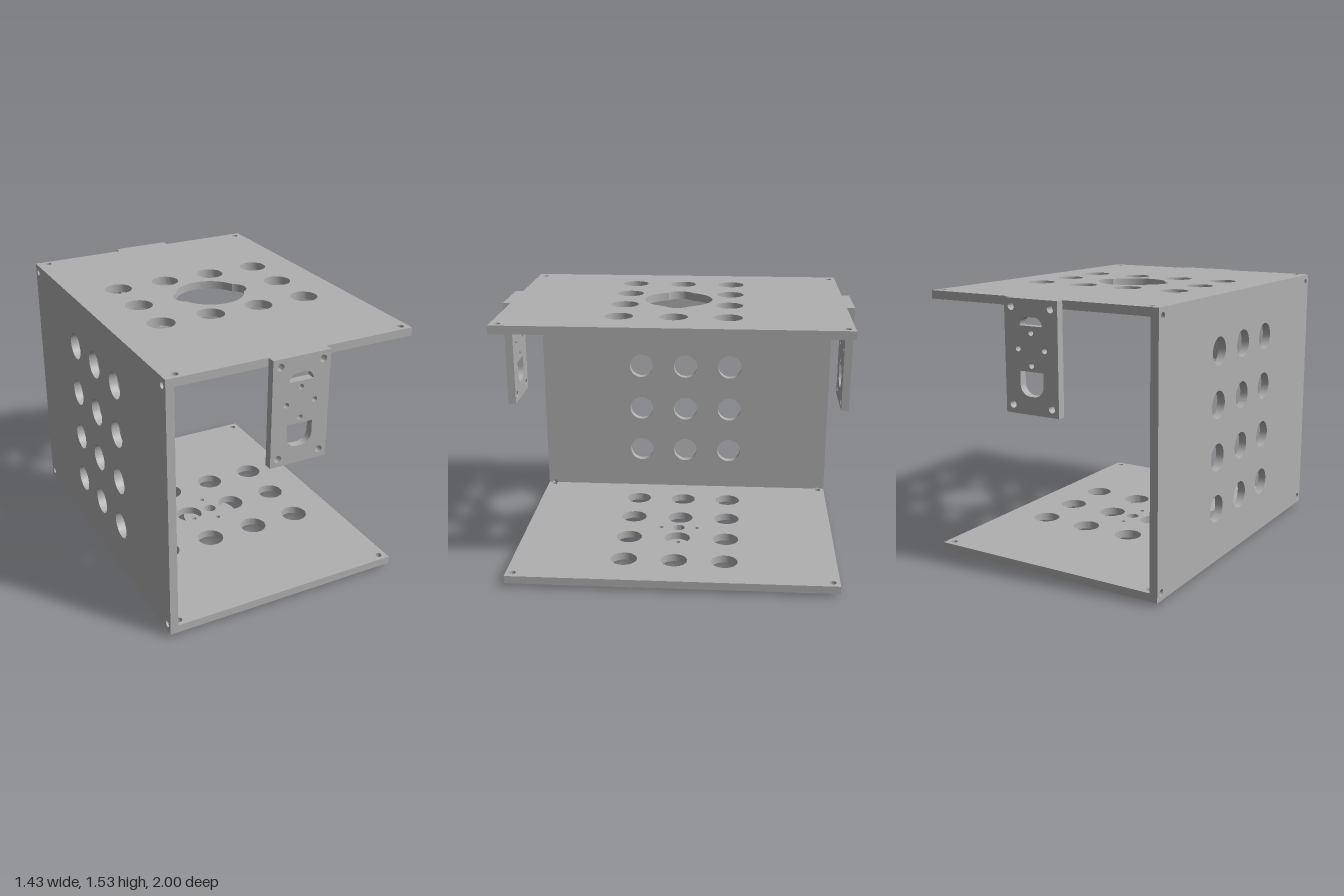
import * as THREE from 'three';
import { toCreasedNormals } from 'three/addons/utils/BufferGeometryUtils.js';

const T = 0.046;                 // sheet thickness
const CX = 0.012;                // centre line of hole pattern, disc and tabs
const Y0 = 0.022, Y1 = 1.531;    // outer faces of bottom and top plates
const X = 0.715, Z = 0.955;      // half width and half depth
const PITCH = 0.297, R = 0.078;  // large hole grid

function rect(x0, y0, x1, y1) {
  return new THREE.Shape([[x0, y0], [x1, y0], [x1, y1], [x0, y1]].map(p => new THREE.Vector2(...p)));
}

function hole(shape, x, y, r) {
  shape.holes.push(new THREE.Path().absarc(x, y, r, 0, Math.PI * 2, true));
}

function slab(shape, depth) {
  const geo = new THREE.ExtrudeGeometry(shape, { depth, bevelEnabled: false, curveSegments: 24 });
  return toCreasedNormals(geo, 0.6);
}

// Horizontal plate with corner screw holes and the large hole grid
function plateShape(skipCentre) {
  const s = rect(-X + T, -Z, X, Z);
  for (const x of [-0.647, 0.67]) for (const z of [-0.914, 0.914]) hole(s, x, z, 0.019);
  for (const i of [-1.5, -0.5, 0.5, 1.5]) {
    for (const j of [-1, 0, 1]) {
      if (skipCentre && j === 0 && Math.abs(i) < 1) continue;
      hole(s, CX + i * PITCH, j * PITCH, R);
    }
  }
  return s;
}

// Large round opening merged with the two grid holes that overlap it
function mergedOpening() {
  const big = 0.195, d = PITCH / 2, PI = Math.PI;
  const a = Math.acos((big * big + d * d - R * R) / (2 * big * d));
  const b = Math.atan2(big * Math.sin(a), big * Math.cos(a) - d);
  const p = new THREE.Path();
  p.absarc(CX, 0, big, a, PI - a, false);
  p.absarc(CX - d, 0, R, PI - b, PI + b, false);
  p.absarc(CX, 0, big, PI + a, 2 * PI - a, false);
  p.absarc(CX + d, 0, R, -b, b, false);
  return p;
}

// Vertical mounting tab with screw holes and two rounded windows
function tabShape() {
  const s = rect(CX - 0.168, 0.925, CX + 0.168, Y1);
  for (const dx of [-0.124, 0.124]) for (const y of [0.97, 1.487]) hole(s, CX + dx, y, 0.02);
  for (const [dx, y] of [[0, 1.357], [-0.084, 1.27], [0.084, 1.27], [0, 1.186]]) hole(s, CX + dx, y, 0.015);

  const upper = new THREE.Path();
  upper.moveTo(CX - 0.07, 1.392);
  upper.absarc(CX - 0.024, 1.392, 0.046, Math.PI, Math.PI / 2, true);
  upper.absarc(CX + 0.024, 1.392, 0.046, Math.PI / 2, 0, true);
  upper.closePath();

  const lower = new THREE.Path();
  lower.moveTo(CX - 0.074, 1.154);
  lower.lineTo(CX + 0.074, 1.154);
  lower.absarc(CX + 0.012, 1.084, 0.062, 0, -Math.PI / 2, true);
  lower.absarc(CX - 0.012, 1.084, 0.062, -Math.PI / 2, -Math.PI, true);
  lower.closePath();
  s.holes.push(upper, lower);
  return s;
}

export function createModel() {
  const group = new THREE.Group();
  const grey = new THREE.MeshStandardMaterial({ color: 0xb0b0b0 });
  grey.name = 'grey metal';

  const add = (name, geo) => {
    const mesh = new THREE.Mesh(geo, grey);
    mesh.name = name;
    group.add(mesh);
  };
  const lay = (shape, depth, y) => slab(shape, depth).rotateX(-Math.PI / 2).translate(0, y, 0);

  // Top plate
  const top = plateShape(true);
  top.holes.push(mergedOpening());
  add('topPlate', lay(top, T, Y1 - T));

  // Bottom plate
  const bottom = plateShape(false);
  hole(bottom, CX, 0, 0.037);
  for (const z of [-0.112, 0.112]) hole(bottom, CX, z, 0.014);
  add('bottomPlate', lay(bottom, T, Y0));

  // Round mounting disc under the bottom plate
  const disc = new THREE.Shape().absarc(CX, 0, 0.169, 0, Math.PI * 2, false);
  hole(disc, CX, 0, 0.037);
  for (const s of [-0.112, 0.112]) {
    hole(disc, CX, s, 0.014);
    hole(disc, CX + s, 0, 0.014);
  }
  add('mountingDisc', lay(disc, Y0, 0));

  // Side wall, drawn in z and y
  const wall = rect(-Z, Y0, Z, Y1);
  for (const z of [-1, 0, 1]) for (let i = 0; i < 4; i++) hole(wall, z * PITCH, 0.334 + i * PITCH, R);
  for (const z of [-0.914, 0.914]) for (const y of [0.066, 1.487]) hole(wall, z, y, 0.019);
  add('sideWall', slab(wall, T).rotateY(Math.PI / 2).translate(-X, 0, 0));

  // Front and back tabs
  add('frontTab', slab(tabShape(), 1 - Z).translate(0, 0, Z));
  add('backTab', slab(tabShape(), 1 - Z).translate(0, 0, -1));

  return group;
}
